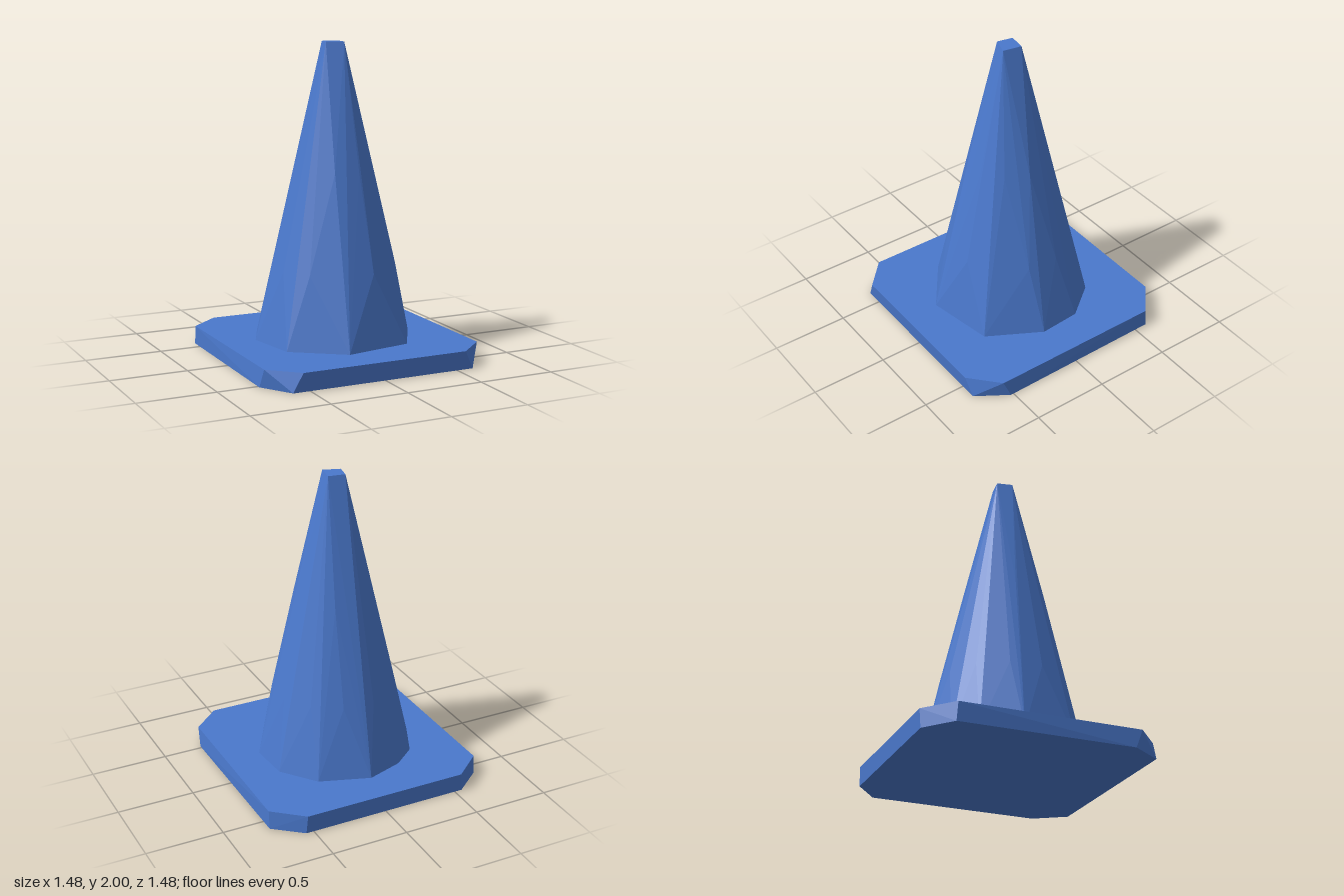
import * as THREE from 'three';
import { ConvexGeometry } from 'three/addons/geometries/ConvexGeometry.js';

const ring = (y, pts) => pts.map(([x, z]) => new THREE.Vector3(x, y, z));

// Rounder ring part way up the cone body
function circle(y, radius, sides, turn) {
  const pts = [];
  for (let i = 0; i < sides; i++) {
    const a = turn + (i / sides) * Math.PI * 2;
    pts.push([Math.cos(a) * radius, Math.sin(a) * radius]);
  }
  return ring(y, pts);
}

// Mirror half an outline (x > 0) across x = 0
const mirrored = (half) => [...half, ...half.map(([x, z]) => [-x, z])];

export function createModel() {
  const group = new THREE.Group();
  const material = new THREE.MeshStandardMaterial({ color: 0x4a78cc, flatShading: true });
  const add = (name, points) => {
    const mesh = new THREE.Mesh(new ConvexGeometry(points), material);
    mesh.name = name;
    group.add(mesh);
  };

  // Square foot plate with clipped, slightly uneven corners
  add('basePlate', [
    ...ring(0, mirrored([[0.55, -0.735], [0.73, -0.59], [0.74, 0.52], [0.61, 0.72]])),
    ...ring(0.12, mirrored([[0.54, -0.74], [0.73, -0.58], [0.73, 0.57], [0.55, 0.735]])),
  ]);

  // Cone body: irregular ten-sided foot, rounder middle, four-sided tip
  add('coneBody', [
    ...ring(0.12, [
      [-0.01, -0.52], [0.31, -0.41], [0.48, -0.19], [0.5, 0.08], [0.31, 0.42],
      [-0.13, 0.5], [-0.45, 0.27], [-0.51, -0.08], [-0.4, -0.32], [-0.25, -0.44],
    ]),
    ...circle(0.58, 0.4, 12, 0.3),
    ...circle(1.2, 0.258, 10, 0.1),
    ...ring(2, [[-0.05, -0.065], [0.06, -0.05], [0.04, 0.07], [-0.07, 0.035]]),
  ]);

  return group;
}
